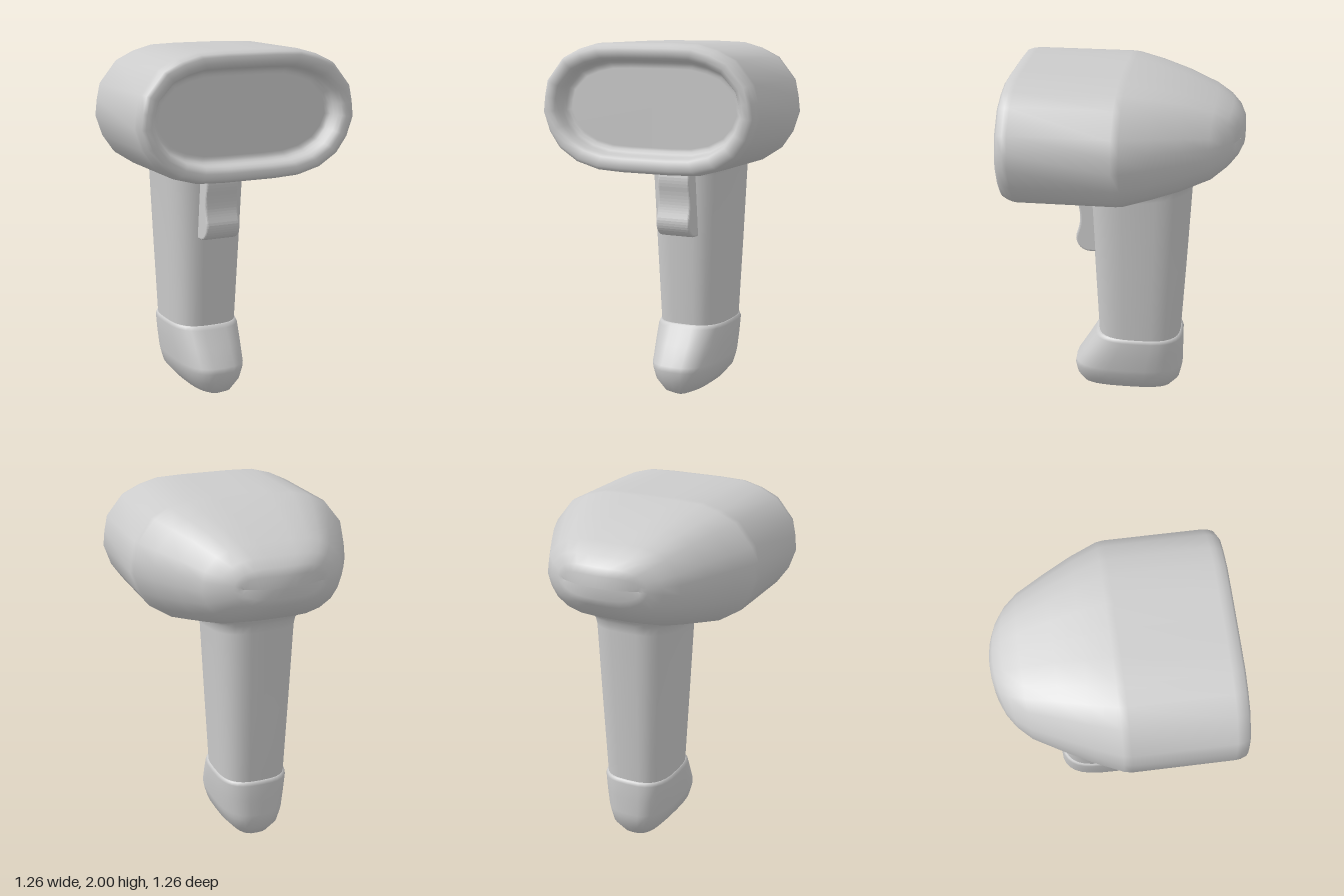
import * as THREE from 'three';

const material = new THREE.MeshStandardMaterial({ color: 0xcccccc });

// Skin a row of closed rings (equal point counts) with smooth normals
function loft(rings, name) {
  const n = rings[0].length;
  const index = [];
  for (let i = 0; i < rings.length - 1; i++) {
    for (let j = 0; j < n; j++) {
      const k = (j + 1) % n;
      const a = i * n + j, b = i * n + k, c = a + n, d = b + n;
      index.push(a, c, b, b, c, d);
    }
  }
  const geometry = new THREE.BufferGeometry().setFromPoints(rings.flat());
  geometry.setIndex(index);
  geometry.computeVertexNormals();
  const mesh = new THREE.Mesh(geometry, material);
  mesh.name = name;
  return mesh;
}

// Unit outline of the head: flat top and bottom, rounded sides
const half = [
  [0, -1], [0.24, -1], [0.47, -0.98], [0.67, -0.88], [0.84, -0.68], [0.94, -0.42],
  [1, -0.1], [0.985, 0.15], [0.955, 0.41], [0.8, 0.76], [0.64, 0.9], [0.47, 0.985], [0.24, 1],
];
const outline = [...half, [0, 1], ...half.slice(1).reverse().map(([u, v]) => [-u, v])];

// Head ring: half width, top, bottom, z at the sides, z at the middle
function headRing([w, top, bottom, zSide, zMid = zSide]) {
  return outline.map(([u, v]) => new THREE.Vector3(
    u * w,
    (top + bottom) / 2 + v * (top - bottom) / 2,
    zSide + (zMid - zSide) * (1 - u * u),
  ));
}

// Grip ring: y, half width, front z, back z, y at the back
function gripRing([y, w, front, back, yBack = y]) {
  const ring = [];
  const count = 32;
  const soft = (t) => Math.sign(t) * Math.pow(Math.abs(t), 0.68);
  for (let i = 0; i < count; i++) {
    const a = (i / count) * Math.PI * 2;
    const s = -soft(Math.sin(a));
    ring.push(new THREE.Vector3(
      soft(Math.cos(a)) * w,
      y + (yBack - y) * (1 - s) / 2,
      (front + back) / 2 + s * (front - back) / 2,
    ));
  }
  return ring;
}

export function createModel() {
  const group = new THREE.Group();
  group.name = 'handheldScanner';

  // Head: window panel, recess, rounded rim, body, tapered bowed back
  group.add(loft([
    [0, 1.66, 1.66, 0.53],
    [0.49, 1.865, 1.45, 0.53],
    [0.505, 1.88, 1.435, 0.53],
    [0.522, 1.895, 1.42, 0.54],
    [0.53, 1.905, 1.41, 0.56],
    [0.536, 1.91, 1.405, 0.595],
    [0.548, 1.922, 1.393, 0.618],
    [0.568, 1.942, 1.373, 0.63],
    [0.597, 1.972, 1.343, 0.63],
    [0.615, 1.988, 1.328, 0.617],
    [0.627, 1.998, 1.318, 0.585],
    [0.63, 2, 1.315, 0.56],
    [0.63, 2, 1.315, 0.03],
    [0.622, 1.998, 1.318, -0.01],
    [0.56, 1.97, 1.35, -0.15],
    [0.48, 1.93, 1.388, -0.3],
    [0.395, 1.868, 1.45, -0.45, -0.47],
    [0.33, 1.82, 1.515, -0.52, -0.56],
    [0.265, 1.775, 1.57, -0.565, -0.608],
    [0.24, 1.735, 1.61, -0.575, -0.628],
    [0.22, 1.67, 1.67, -0.578, -0.63],
  ].map(headRing), 'head'));

  // Handle: flares into the underside of the head
  group.add(loft([
    [1.36, 0.29, 0.28, -0.41, 1.45],
    [1.315, 0.26, 0.25, -0.38, 1.405],
    [1.295, 0.243, 0.228, -0.36, 1.38],
    [1.26, 0.235, 0.215, -0.35, 1.33],
    [0.85, 0.215, 0.2, -0.325],
    [0.38, 0.193, 0.18, -0.298],
  ].map(gripRing), 'handle'));

  // Base: lipped collar, forward-leaning foot, rounded keel
  group.add(loft([
    [0.405, 0, -0.05, -0.05],
    [0.408, 0.188, 0.178, -0.295],
    [0.403, 0.2, 0.193, -0.308],
    [0.385, 0.206, 0.205, -0.315],
    [0.29, 0.2, 0.262, -0.315],
    [0.19, 0.19, 0.325, -0.315],
    [0.16, 0.183, 0.33, -0.313],
    [0.1, 0.165, 0.32, -0.3],
    [0.035, 0.11, 0.285, -0.25],
    [0.01, 0.055, 0.235, -0.19],
    [0, 0, 0.21, -0.15],
  ].map(gripRing), 'base'));

  // Trigger: curved side profile swept across the width
  const profile = new THREE.Shape();
  profile.moveTo(0.12, 1.34);
  profile.lineTo(0.225, 1.325);
  profile.bezierCurveTo(0.265, 1.31, 0.285, 1.27, 0.275, 1.21);
  profile.bezierCurveTo(0.255, 1.12, 0.27, 1.08, 0.287, 1.03);
  profile.bezierCurveTo(0.3, 0.99, 0.275, 0.937, 0.22, 0.937);
  profile.lineTo(0.12, 0.937);
  profile.closePath();
  const triggerGeometry = new THREE.ExtrudeGeometry(profile, {
    depth: 0.18, bevelEnabled: true, bevelSize: 0.012, bevelThickness: 0.012,
    bevelSegments: 3, curveSegments: 10,
  });
  triggerGeometry.translate(0, 0, -0.09);
  triggerGeometry.rotateY(-Math.PI / 2);
  // Slightly wider towards the lower end
  const p = triggerGeometry.attributes.position;
  for (let i = 0; i < p.count; i++) {
    p.setX(i, p.getX(i) * (1.03 - 0.1 * (p.getY(i) - 0.93) / 0.4));
  }
  triggerGeometry.computeVertexNormals();
  const trigger = new THREE.Mesh(triggerGeometry, material);
  trigger.name = 'trigger';
  group.add(trigger);

  return group;
}
